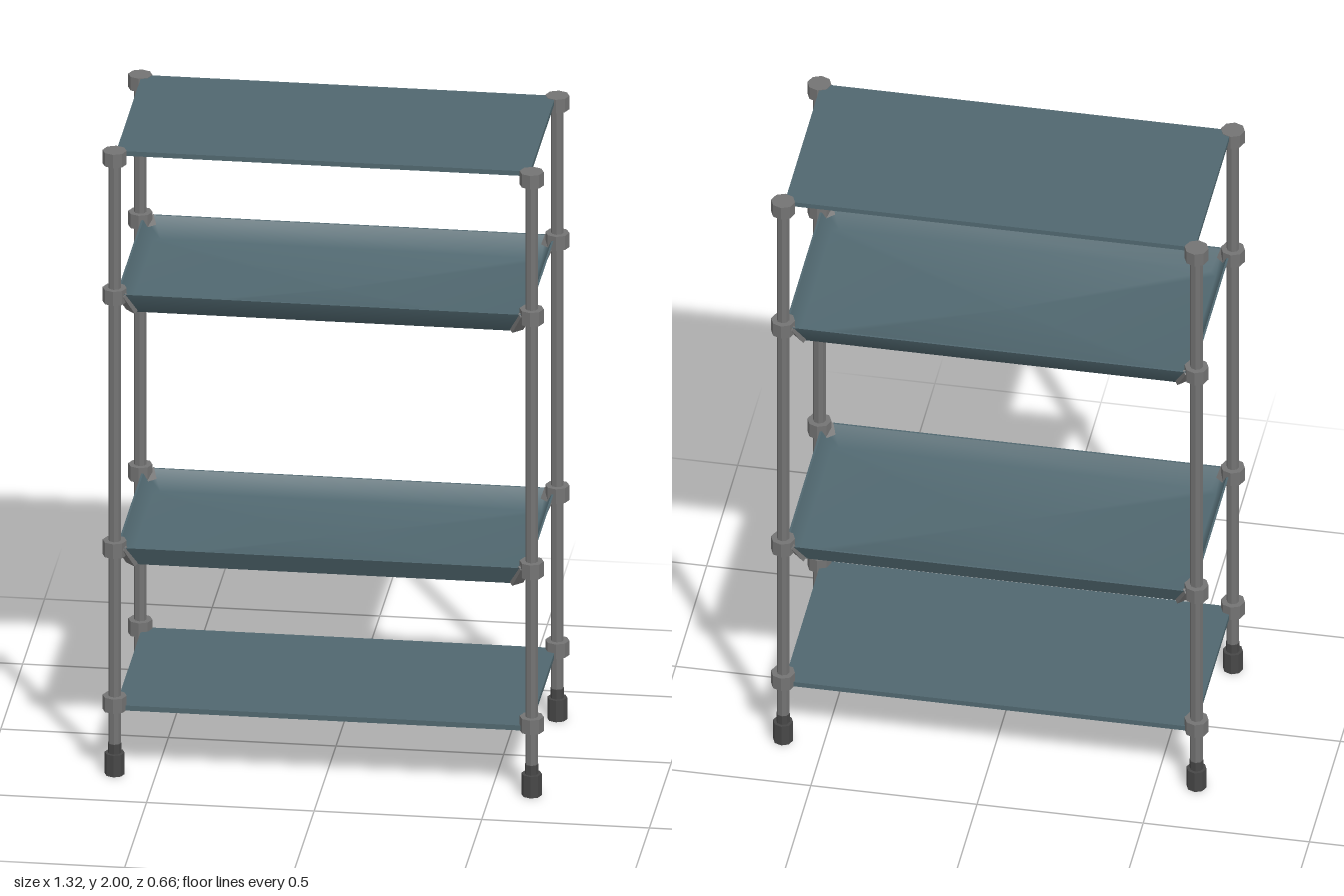
import * as THREE from 'three';

const POST_X = 0.622, POST_Z = 0.293;

const shelfMat = new THREE.MeshStandardMaterial({ color: 0x50676f });
shelfMat.name = 'slate blue shelf';
const metalMat = new THREE.MeshStandardMaterial({ color: 0x737373 });
metalMat.name = 'grey metal';
const footMat = new THREE.MeshStandardMaterial({ color: 0x474747 });
footMat.name = 'dark rubber';

function add(parent, name, geometry, material, x, y, z) {
  const mesh = new THREE.Mesh(geometry, material);
  mesh.name = name;
  mesh.position.set(x, y, z);
  parent.add(mesh);
  return mesh;
}

// Low-poly cylinder standing between two heights, with flat faces
function prism(radius, y0, y1, sides = 8) {
  const g = new THREE.CylinderGeometry(radius, radius, y1 - y0, sides);
  g.translate(0, (y0 + y1) / 2, 0);
  const flat = g.toNonIndexed();
  flat.computeVertexNormals();
  return flat;
}

// Rectangle with cut corners; zero size gives a single central point
function ring(hx, hz, cut, y) {
  return [
    [hx, y, -hz + cut], [hx, y, hz - cut], [hx - cut, y, hz], [-hx + cut, y, hz],
    [-hx, y, hz - cut], [-hx, y, -hz + cut], [-hx + cut, y, -hz], [hx - cut, y, -hz],
  ];
}

// Skin joining successive rings
function loft(rings, smooth) {
  const n = 8, index = [];
  for (let i = 0; i < rings.length - 1; i++) {
    for (let j = 0; j < n; j++) {
      const a = i * n + j, a1 = i * n + (j + 1) % n, b = a + n, b1 = a1 + n;
      index.push(a, a1, b, a1, b1, b);
    }
  }
  let g = new THREE.BufferGeometry();
  g.setAttribute('position', new THREE.Float32BufferAttribute(rings.flat(2), 3));
  g.setIndex(index);
  if (!smooth) g = g.toNonIndexed();
  g.computeVertexNormals();
  return g;
}

// Tray with walls sloping in to a floor that may dip towards its centre
function tray(name, top, floor, centre, smoothUnderside) {
  const group = new THREE.Group();
  group.name = name;
  const t = 0.006;
  const rim = ring(0.615, 0.31, 0.025, top);
  const base = ring(0.585, 0.275, 0.02, floor);
  const innerRim = ring(0.615 - t, 0.31 - t, 0.025, top);
  const innerBase = ring(0.585 - t, 0.275 - t, 0.02, floor + t);
  // The middle is a tiny ring so that smooth normals stay well defined
  const low = ring(0.002, 0.002, 0.0005, centre);
  const innerLow = ring(0.002, 0.002, 0.0005, centre + t);
  const cap = y => ring(0, 0, 0, y);
  add(group, 'trayUnderside', loft([rim, base, low, cap(centre)], smoothUnderside), shelfMat, 0, 0, 0);
  add(group, 'trayInside', loft([cap(centre + t), innerLow, innerBase, innerRim], true), shelfMat, 0, 0, 0);
  add(group, 'trayRim', loft([innerRim, rim], false), shelfMat, 0, 0, 0);

  // Metal plates holding the cut corners
  for (const sx of [-1, 1]) for (const sz of [-1, 1]) {
    const plate = add(group, 'cornerBracket', new THREE.BoxGeometry(0.042, 0.076, 0.016),
      metalMat, sx * 0.588, (top + floor) / 2, sz * 0.281);
    plate.rotation.order = 'YXZ';
    plate.rotation.set(-0.59, Math.atan2(-sx, -sz), 0);
  }
  return group;
}

export function createModel() {
  const model = new THREE.Group();
  model.name = 'shelvingUnit';

  // Corner posts with feet and a collar at each shelf
  const postGeo = prism(0.019, 0.06, 1.98);
  const footGeo = prism(0.03, 0, 0.069);
  const stemGeo = prism(0.0205, 0.069, 0.1);
  const collars = [[0.206, 0.252], [0.703, 0.75], [1.515, 1.56], [1.957, 2]]
    .map(([y0, y1]) => prism(0.036, y0, y1));
  for (const sx of [-1, 1]) for (const sz of [-1, 1]) {
    const corner = new THREE.Group();
    corner.name = 'cornerPost';
    corner.position.set(sx * POST_X, 0, sz * POST_Z);
    add(corner, 'post', postGeo, metalMat, 0, 0, 0);
    add(corner, 'foot', footGeo, footMat, 0, 0, 0);
    add(corner, 'footStem', stemGeo, footMat, 0, 0, 0);
    for (const g of collars) add(corner, 'collar', g, metalMat, 0, 0, 0);
    model.add(corner);
  }

  // Flat shelves at top and bottom
  add(model, 'topShelf', new THREE.BoxGeometry(1.234, 0.015, 0.584), shelfMat, 0, 1.991, 0);
  add(model, 'bottomShelf', new THREE.BoxGeometry(1.234, 0.016, 0.6), shelfMat, 0, 0.215, 0);

  // Flat-bottomed tray below, dipped tray above
  model.add(tray('lowerTray', 0.732, 0.668, 0.668, false));
  model.add(tray('upperTray', 1.545, 1.478, 1.46, true));
  return model;
}
